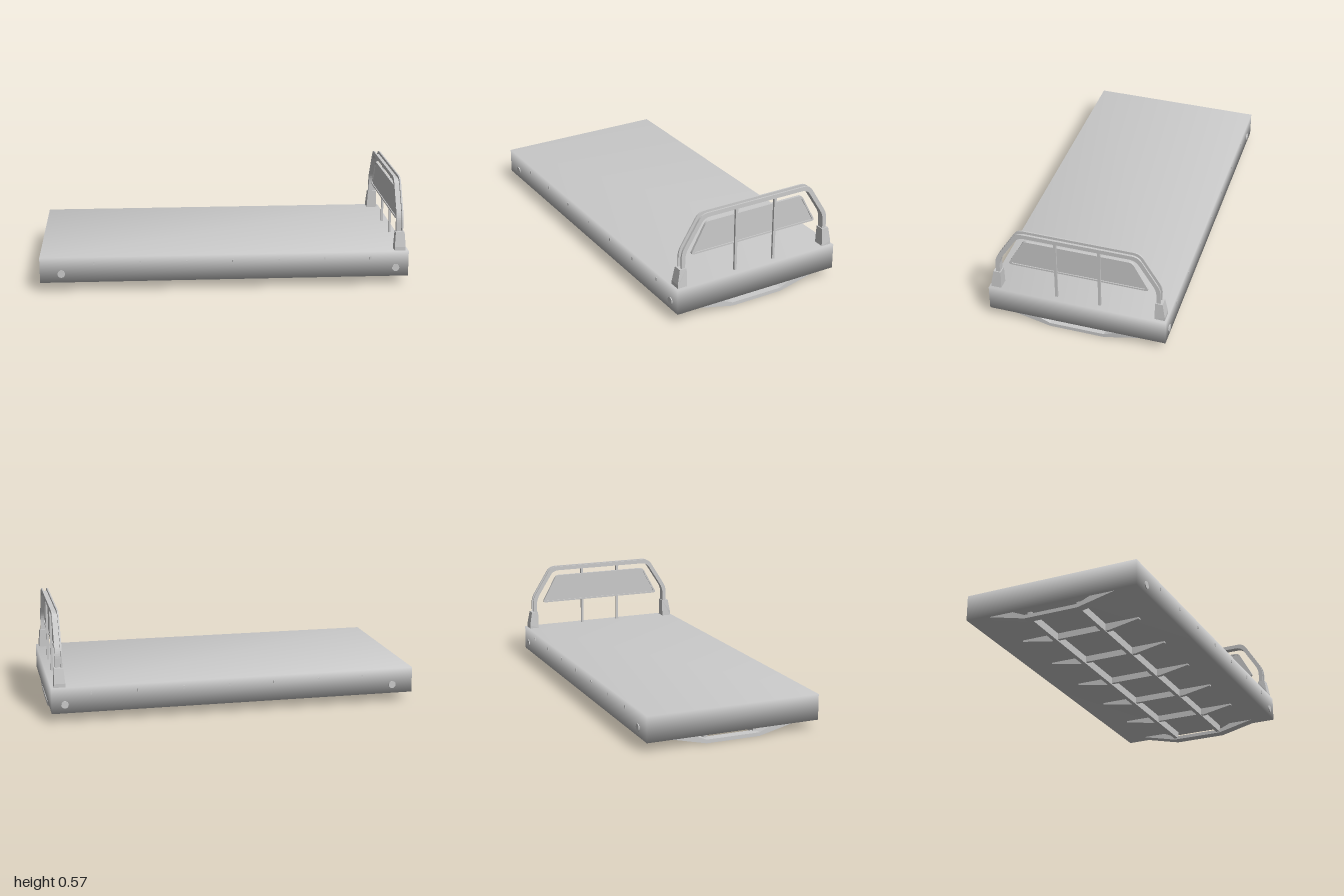
import * as THREE from 'three';
import { mergeVertices } from 'three/addons/utils/BufferGeometryUtils.js';

const material = new THREE.MeshStandardMaterial({ color: 0xcccccc, side: THREE.DoubleSide });

export function createModel() {
  const model = new THREE.Group();

  const add = (name, geometry, x = 0, y = 0, z = 0) => {
    const mesh = new THREE.Mesh(geometry, material);
    mesh.name = name;
    mesh.position.set(x, y, z);
    model.add(mesh);
    return mesh;
  };
  const box = (name, w, h, d, x, y, z) => add(name, new THREE.BoxGeometry(w, h, d), x, y, z);

  // Cross-section drawn as [z, y] points, extruded along x from x0 to x1
  const section = (points, x0, x1, hole) => {
    const toVectors = (list) => list.map(([a, b]) => new THREE.Vector2(a, b));
    const shape = new THREE.Shape(toVectors(points));
    if (hole) shape.holes.push(new THREE.Path(toVectors(hole)));
    const geometry = new THREE.ExtrudeGeometry(shape, { depth: x1 - x0, bevelEnabled: false });
    return geometry.rotateY(Math.PI / 2).translate(x0, 0, 0);
  };
  // Adds the mirrored half of a [z, y] outline
  const mirrored = (half) => [...half, ...half.map(([z, y]) => [-z, y]).reverse()];
  // Rounds the corners of an open [z, y] polyline
  const rounded = (points, radius) => {
    const out = [points[0]];
    for (let i = 1; i < points.length - 1; i++) {
      const [a, b, c] = [points[i - 1], points[i], points[i + 1]].map((p) => new THREE.Vector2(...p));
      const start = b.clone().add(a.sub(b).setLength(radius));
      const end = b.clone().add(c.sub(b).setLength(radius));
      const curve = new THREE.QuadraticBezierCurve(start, b, end);
      out.push(...curve.getPoints(5).map((p) => [p.x, p.y]));
    }
    out.push(points[points.length - 1]);
    return out;
  };

  // Tray with softened shading shared across its edges
  let tray = new THREE.BoxGeometry(2, 0.14, 0.97);
  tray.deleteAttribute('normal');
  tray.deleteAttribute('uv');
  tray = mergeVertices(tray);
  tray.computeVertexNormals();
  add('tray', tray, 0, 0.12, 0);

  // Side lamps and small markers along both sides
  for (const side of [-1, 1]) {
    for (const x of [-0.885, 0.93]) {
      const lamp = new THREE.CylinderGeometry(0.02, 0.02, 0.008, 20).rotateX(Math.PI / 2);
      add('sideLamp', lamp, x, 0.098, side * 0.486);
    }
    for (let i = 0; i < 7; i++) {
      box('sideMarker', 0.008, 0.016, 0.006, -0.71 + i * 0.25, 0.155, side * 0.486);
    }
  }

  // Chassis rails under the tray
  for (const side of [-1, 1]) box('chassisRail', 1.9, 0.045, 0.022, 0, 0.0295, side * 0.14);

  // Bent beams at both ends
  const beam = [...mirrored([[0.36, 0.05], [0.15, 0]]),
    ...mirrored([[0.22, 0.05], [0.15, 0.02]]).reverse()];
  add('endBeam', section(beam, -0.985, -0.937));
  add('endBeam', section(beam, 0.94, 0.995));

  // Crossmembers with tapered outriggers
  for (let i = -2; i <= 2; i++) {
    const x = i * 0.326;
    box('crossmember', 0.018, 0.035, 0.27, x, 0.0335, 0);
    for (const side of [-1, 1]) {
      const arm = [[0.14, 0.05], [0.34, 0.05], [0.34, 0.042], [0.17, 0.01], [0.14, 0.01]]
        .map(([z, y]) => [side * z, y]);
      add('outrigger', section(arm, x - 0.01, x + 0.01));
    }
  }

  // Headboard hoop: a channel open to the outside
  const hoopLine = (inset) => rounded(mirrored([
    [0.448 - inset, 0.28], [0.448 - inset, 0.375 - inset * 0.3],
    [0.328 - inset * 0.6, 0.566 - inset],
  ]), 0.034);
  const band = (a, b) => [...hoopLine(a), ...hoopLine(b).reverse()];
  add('hoopFlange', section(band(0, 0.023), 0.934, 0.942));
  add('hoopFlange', section(band(0, 0.023), 0.964, 0.972));
  add('hoopWeb', section(band(0.015, 0.023), 0.942, 0.964));

  // Tapered post sockets
  for (const side of [-1, 1]) {
    const outline = [[0.42, 0.19], [0.475, 0.19], [0.475, 0.21], [0.46, 0.29], [0.42, 0.29]]
      .map(([z, y]) => [side * z, y]);
    const socket = section(outline, -0.03, 0.03);
    const position = socket.attributes.position;
    for (let i = 0; i < position.count; i++) {
      if (position.getY(i) > 0.25) position.setX(i, position.getX(i) * 0.8);
    }
    socket.computeVertexNormals();
    add('postSocket', socket, 0.954);
  }

  // Upright bars and the framed window panel
  for (const side of [-1, 1]) box('uprightBar', 0.012, 0.358, 0.014, 0.961, 0.369, side * 0.118);
  const windowLine = (inset) => {
    const half = [[0, 0.343 + inset], [0.383 - inset * 1.6, 0.343 + inset],
      [0.292 - inset * 0.6, 0.51 - inset], [0, 0.51 - inset]];
    return mirrored(rounded(half, 0.02).slice(1, -1));
  };
  add('windowFrame', section(windowLine(0), 0.943, 0.957, windowLine(0.009)));
  add('windowPanel', section(windowLine(0.008), 0.948, 0.952));

  return model;
}
